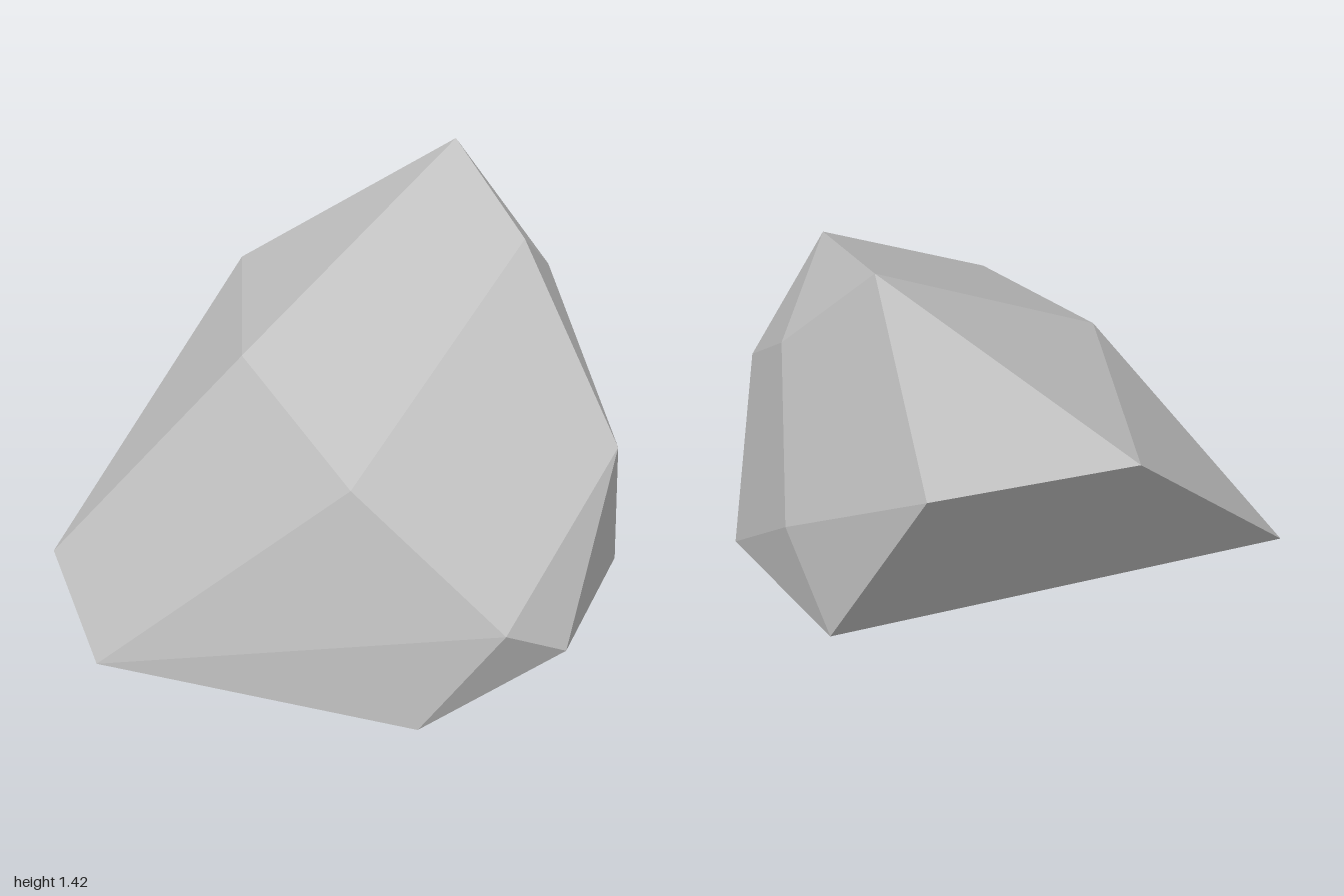
import * as THREE from 'three';

// Corners of the boulder
const corners = {
  // crown
  A: [0.24, 1.42, -0.61], B: [0.6, 1.31, -0.09], D: [0.63, 1.06, -0.44],
  // shoulders
  E: [0.28, 0.84, 0.8], F: [-0.27, 0.91, 0.25], G: [-0.58, 0.85, -0.57],
  N: [0.01, 0.82, -0.89], C: [0.99, 0.7, 0.11],
  // lower flanks
  J: [0.79, 0.47, 0.88], K: [0.95, 0.3, 0.69], O: [0.6, 0.45, -0.6],
  // base
  H: [-1, 0.02, 0.38], I: [-0.59, 0, 0.88], L: [0.53, 0.02, 0.88],
  M: [1, 0.04, -0.17], P: [0.45, 0.05, -0.64],
};

// Facets by corner, each shaded as one plane
const facets = [
  'ABEF', 'AFG', 'GFH', 'HFEI', 'EIJ', 'ILJ', 'JCBE', 'JLK', 'JKC', 'LMK',
  'KMC', 'BCD', 'ABD', 'DCMO', 'ADON', 'ANG', 'OMP', 'NOP', 'NPHG', 'LMPHI',
];

function facetedGeometry() {
  const middle = new THREE.Vector3(0, 0.6, 0);
  const positions = [];
  const normals = [];
  for (const facet of facets) {
    const pts = [...facet].map((name) => new THREE.Vector3(...corners[name]));
    // area-weighted normal of the whole facet
    const normal = new THREE.Vector3();
    pts.forEach((p, i) => normal.add(p.clone().cross(pts[(i + 1) % pts.length])));
    normal.normalize();
    // turn the facet outward
    const inward = normal.dot(pts[0].clone().sub(middle)) < 0;
    if (inward) normal.negate();
    for (let i = 1; i < pts.length - 1; i++) {
      const fan = inward ? [pts[0], pts[i + 1], pts[i]] : [pts[0], pts[i], pts[i + 1]];
      for (const p of fan) {
        positions.push(...p.toArray());
        normals.push(...normal.toArray());
      }
    }
  }
  const geometry = new THREE.BufferGeometry();
  geometry.setAttribute('position', new THREE.Float32BufferAttribute(positions, 3));
  geometry.setAttribute('normal', new THREE.Float32BufferAttribute(normals, 3));
  return geometry;
}

export function createModel() {
  const group = new THREE.Group();
  group.name = 'rock';

  const stone = new THREE.MeshStandardMaterial({ color: 0xc4c4c4 });
  stone.name = 'stone grey';

  const boulder = new THREE.Mesh(facetedGeometry(), stone);
  boulder.name = 'boulder';
  group.add(boulder);
  return group;
}
